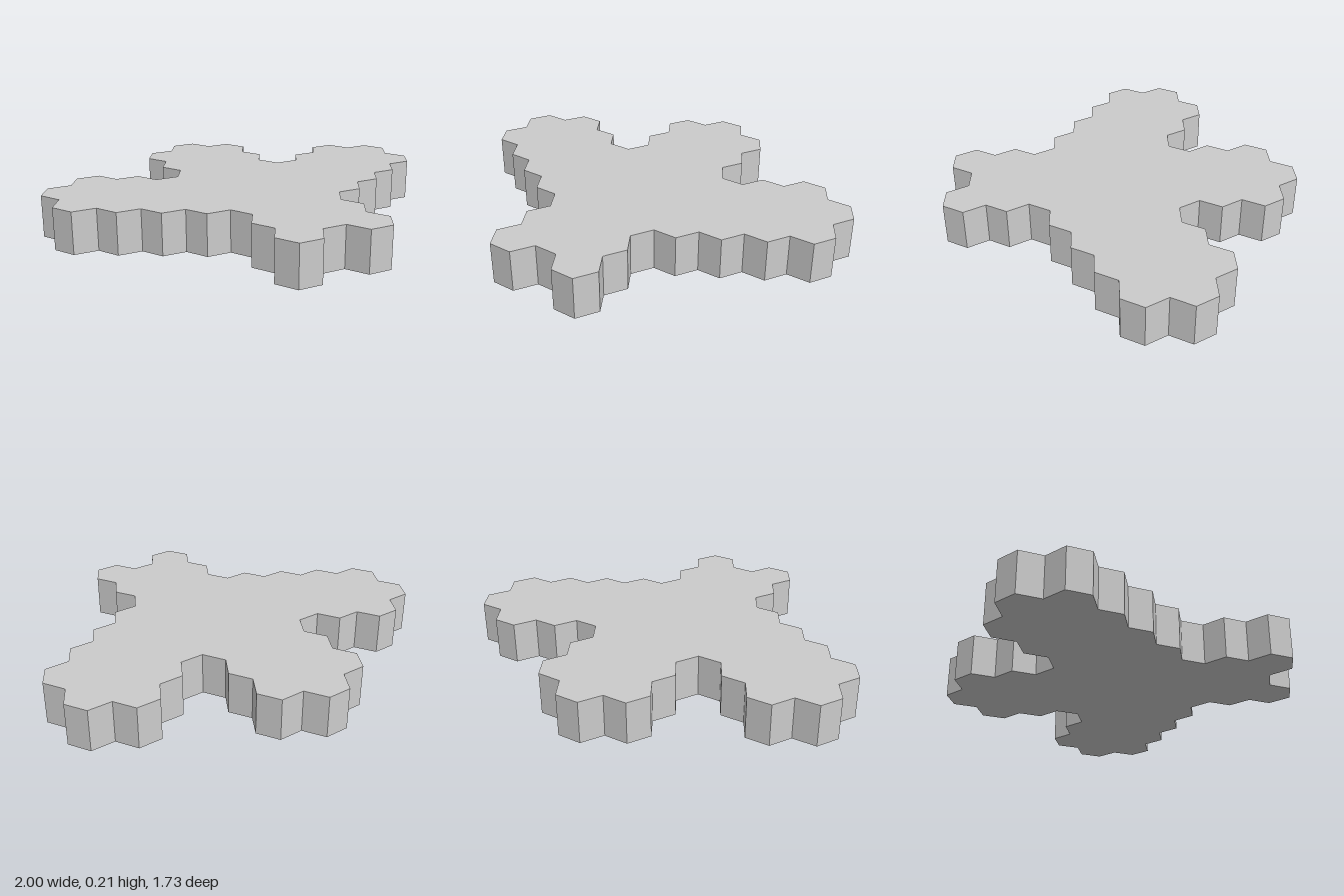
import * as THREE from 'three';

const SIDE = 2 / 17;                       // hexagon side: 11 columns span 2 units
const HALF = SIDE * Math.sqrt(3) / 2;      // half a hexagon's depth
const HEIGHT = 0.207;

// Hexagon corners on an integer lattice (SIDE / 2 across, HALF deep)
const CORNERS = [[2, 0], [1, 1], [-1, 1], [-2, 0], [-1, -1], [1, -1]];

// Follows the outer outline of a patch of hexagons.
// Each column is [column, first row, last row]; rows step by two.
function outline(columns) {
  const edges = new Map();
  for (const [col, first, last] of columns) {
    for (let row = first; row <= last; row += 2) {
      const pts = CORNERS.map(([dx, dz]) => `${3 * col + dx},${row + dz}`);
      pts.forEach((a, i) => {
        const b = pts[(i + 1) % 6];
        // An edge shared by two hexagons is interior and cancels out
        if (!edges.delete(`${b}|${a}`)) edges.set(`${a}|${b}`, [a, b]);
      });
    }
  }
  const next = new Map(edges.values());
  const start = next.keys().next().value;
  const loop = [];
  let key = start;
  do {
    const [x, z] = key.split(',').map(Number);
    loop.push(new THREE.Vector2(x * SIDE / 2, -(z - 7.5) * HALF));
    key = next.get(key);
  } while (key !== start);
  return loop;
}

function hexSlab(name, columns, material) {
  const geometry = new THREE.ExtrudeGeometry(new THREE.Shape(outline(columns)), {
    depth: HEIGHT, bevelEnabled: false,
  });
  geometry.rotateX(-Math.PI / 2);
  const mesh = new THREE.Mesh(geometry, material);
  mesh.name = name;
  return mesh;
}

export function createModel() {
  const group = new THREE.Group();
  group.name = 'hexTilePlatform';
  const material = new THREE.MeshStandardMaterial({ color: 0xcccccc, flatShading: true });

  // Central spine, shoulders and the joined wing
  group.add(hexSlab('mainPlatform', [
    [-3, 9, 9], [-2, 6, 10], [-1, 1, 15], [0, 0, 14], [1, 1, 15],
    [2, 6, 10], [3, 5, 9], [4, 4, 8], [5, 5, 7],
  ], material));

  // Separate seven-hexagon wing set against the platform
  group.add(hexSlab('rightWing', [[-5, 5, 7], [-4, 4, 8], [-3, 5, 7]], material));

  return group;
}
